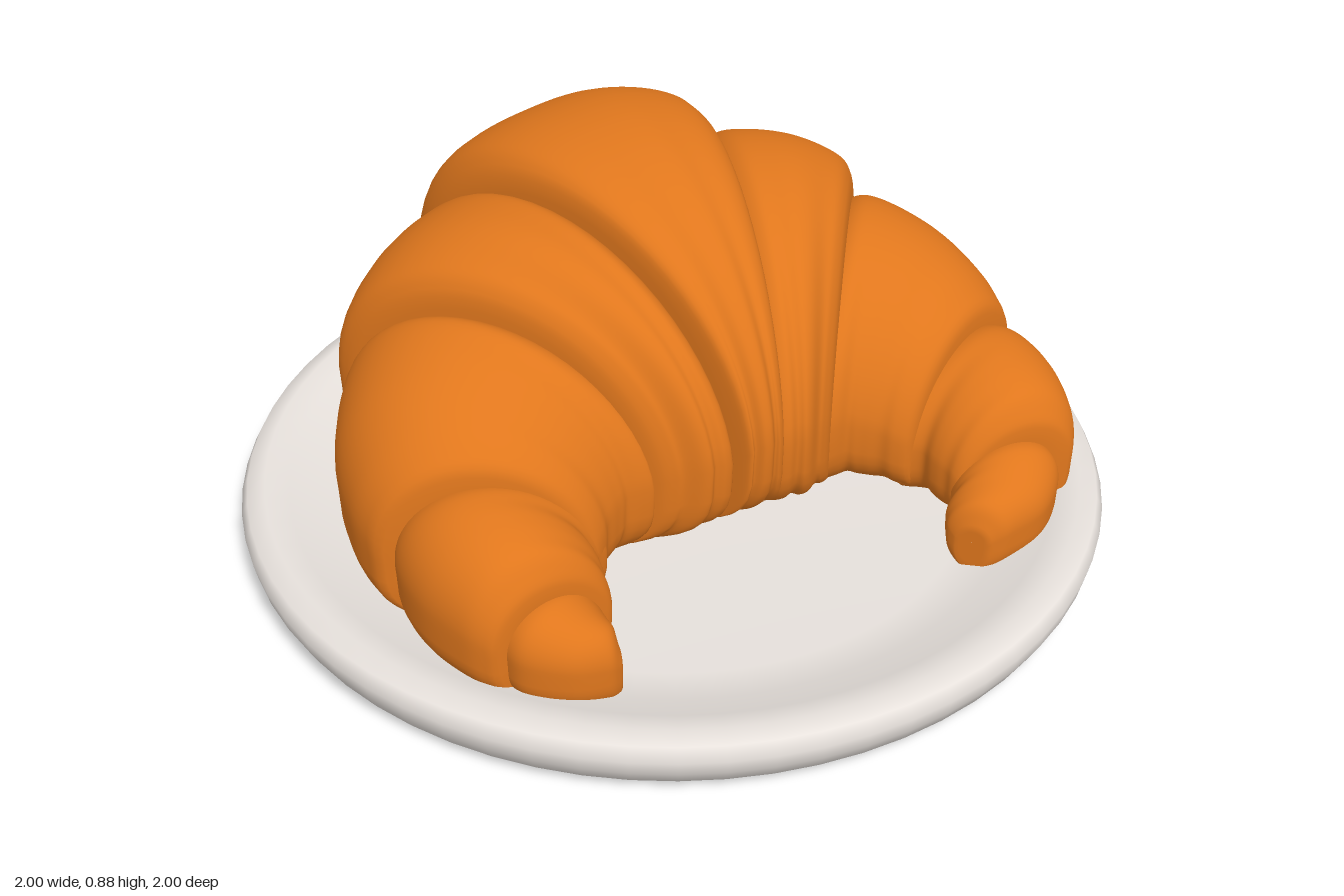
import * as THREE from 'three';

const crust = new THREE.MeshStandardMaterial({ name: 'golden crust', color: 0xe0771d });
const china = new THREE.MeshStandardMaterial({ name: 'off-white china', color: 0xe8e2dd });
const clay = new THREE.MeshStandardMaterial({ name: 'tan base', color: 0xe0af76 });

const FLOOR = 0.06;

// Each roll is a row of sections: [outer x, outer z, inner x, inner z, top height]
const centre = [
  [-.35, -.58, -.02, .37, .80], [-.31, -.71, -.01, .38, .84], [-.13, -.78, .01, .39, .87],
  [.1, -.8, .04, .39, .88], [.3, -.74, .06, .38, .85], [.37, -.62, .08, .37, .80],
];
// Side rolls for the model's left, with the x shift used when mirrored
const sides = [
  { name: 'shoulderRoll', shift: .03, rows: [
    [.34, -.60, .06, .36, .73], [.43, -.58, .1, .37, .77], [.58, -.49, .14, .37, .76],
    [.69, -.38, .19, .34, .71], [.69, -.3, .23, .32, .66]] },
  { name: 'middleRoll', shift: .01, rows: [
    [.63, -.3, .2, .31, .6], [.71, -.25, .26, .31, .63], [.8, -.08, .31, .32, .59],
    [.83, .08, .36, .36, .53], [.82, .2, .4, .39, .47]] },
  { name: 'armRoll', shift: .03, rows: [
    [.77, .14, .37, .36, .4], [.815, .25, .42, .39, .43], [.815, .38, .43, .44, .42],
    [.775, .5, .44, .49, .39], [.73, .56, .45, .52, .33]] },
];
const tipLeft = [
  [.70, .50, .45, .48, .28], [.67, .59, .43, .52, .29], [.58, .66, .4, .54, .26],
  [.48, .675, .38, .57, .23], [.43, .665, .38, .6, .18],
];
const tipRight = [
  [-.46, .63, -.445, .57, .18], [-.50, .645, -.44, .55, .23], [-.58, .63, -.44, .52, .26],
  [-.66, .57, -.44, .49, .29], [-.68, .48, -.45, .46, .28],
];

// Lofts upright oval sections along a row; both ends close with a rounded lip
function rollGeometry(rows) {
  const outer = new THREE.CatmullRomCurve3(rows.map(r => new THREE.Vector3(r[0], r[4], r[1])), false, 'catmullrom');
  const inner = new THREE.CatmullRomCurve3(rows.map(r => new THREE.Vector3(r[2], 0, r[3])), false, 'catmullrom');
  const steps = 36, around = 56, folds = 3;
  const rings = [[0, .01], [0, .7], [0, .93]];
  for (let i = 1; i < steps; i++) rings.push([i / steps, i === 1 || i === steps - 1 ? .985 : 1]);
  rings.push([1, .93], [1, .7], [1, .01]);

  const positions = [], index = [];
  for (const [t, scale] of rings) {
    const o = outer.getPoint(t), n = inner.getPoint(t);
    const cx = (o.x + n.x) / 2, cz = (o.z + n.z) / 2;
    const ux = (o.x - n.x) / 2, uz = (o.z - n.z) / 2;
    const cy = .12 + (o.y - .12) * .34;
    const fold = .016 * Math.abs(Math.cos(t * folds * Math.PI)) ** 4;
    for (let j = 0; j < around; j++) {
      const a = j / around * Math.PI * 2, c = Math.cos(a), s = Math.sin(a);
      // Shallow folds on the inner side
      const k = scale * (1 - fold * Math.max(0, .35 - c));
      // The crown leans outward and the lower half is fuller
      const across = k * (c + .1 * Math.max(0, s));
      const y = cy + k * (s > 0 ? s * (o.y - cy) : -Math.pow(-s, .55) * (cy - FLOOR));
      positions.push(cx + ux * across, y, cz + uz * across);
    }
  }
  for (let i = 0; i < rings.length - 1; i++) {
    for (let j = 0; j < around; j++) {
      const a = i * around + j, b = i * around + (j + 1) % around;
      index.push(a, b, a + around, b, b + around, a + around);
    }
  }
  const geometry = new THREE.BufferGeometry();
  geometry.setAttribute('position', new THREE.Float32BufferAttribute(positions, 3));
  geometry.setIndex(index);
  geometry.computeVertexNormals();
  return geometry;
}

function addMesh(parent, name, geometry, material) {
  const mesh = new THREE.Mesh(geometry, material);
  mesh.name = name;
  parent.add(mesh);
}

const lathe = points => new THREE.LatheGeometry(points.map(p => new THREE.Vector2(...p)), 64);

export function createModel() {
  const model = new THREE.Group();
  model.name = 'croissantOnPlate';

  // Plate: shallow dish with a rounded rim
  addMesh(model, 'plate', lathe([[.95, .01], [.975, .03], [.993, .065], [1, .1], [.985, .13],
    [.945, .14], [.89, .125], [.8, .085], [.7, FLOOR + .005], [0, FLOOR]]), china);

  // Underside of the plate, with a slightly turned-up edge
  addMesh(model, 'plateBase', lathe([[0, 0], [.93, 0], [.95, .01]]), clay);

  // Croissant: wide centre roll and smaller rolls stepping down to each tip
  const croissant = new THREE.Group();
  croissant.name = 'croissant';
  addMesh(croissant, 'centreRoll', rollGeometry(centre), crust);
  for (const { name, shift, rows } of sides) {
    addMesh(croissant, name + 'Left', rollGeometry(rows), crust);
    // Mirrored rows run backwards so the faces still point outward
    const mirrored = rows.map(([ox, oz, ix, iz, h]) =>
      [shift - ox, oz > 0 ? oz * .96 : oz, shift - ix, iz * .98, h]).reverse();
    addMesh(croissant, name + 'Right', rollGeometry(mirrored), crust);
  }
  addMesh(croissant, 'tipLeft', rollGeometry(tipLeft), crust);
  addMesh(croissant, 'tipRight', rollGeometry(tipRight), crust);
  model.add(croissant);
  return model;
}
